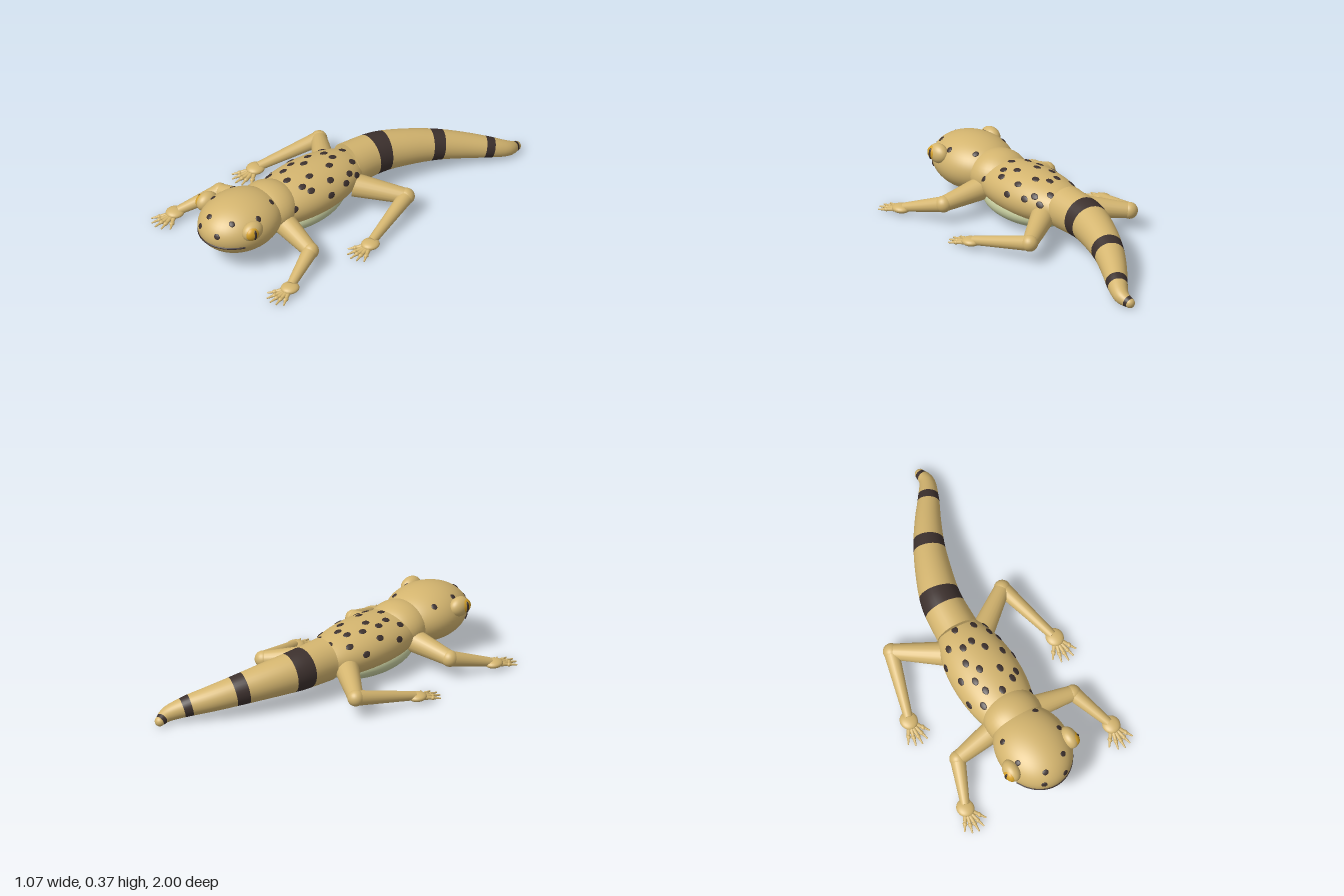
import * as THREE from 'three';

const mat = (name, color) => {
  const m = new THREE.MeshStandardMaterial({ color });
  m.name = name;
  return m;
};
const V = (x, y, z) => new THREE.Vector3(x, y, z);

export function createModel() {
  const skin = mat('tan skin', 0xd4b56f);
  const dark = mat('dark markings', 0x3d312e);
  const pale = mat('pale belly', 0xc6cd9f);
  const gold = mat('gold iris', 0xd6a22a);
  const model = new THREE.Group();
  model.name = 'lizard';

  const add = (parent, name, geometry, material) => {
    const mesh = new THREE.Mesh(geometry, material);
    mesh.name = name;
    parent.add(mesh);
    return mesh;
  };
  const ball = (parent, name, material, center, radii, seg = 32) => {
    const mesh = add(parent, name, new THREE.SphereGeometry(1, seg, Math.round(seg * 0.7)), material);
    mesh.position.copy(center);
    mesh.scale.copy(radii);
    return mesh;
  };
  // Tapered cylinder from a to b
  const limb = (parent, name, a, b, ra, rb, seg = 20) => {
    const dir = b.clone().sub(a);
    const mesh = add(parent, name, new THREE.CylinderGeometry(rb, ra, dir.length(), seg), skin);
    mesh.position.copy(a).addScaledVector(dir, 0.5);
    mesh.quaternion.setFromUnitVectors(V(0, 1, 0), dir.normalize());
    return mesh;
  };

  // Head, neck, trunk and belly
  const headC = V(0, 0.222, 0.75), headR = V(0.205, 0.153, 0.25);
  const bodyC = V(0, 0.195, 0.27), bodyR = V(0.19, 0.137, 0.4);
  ball(model, 'head', skin, headC, headR, 48);
  ball(model, 'neck', skin, V(0, 0.215, 0.54), V(0.165, 0.13, 0.16));
  ball(model, 'body', skin, bodyC, bodyR, 48);
  ball(model, 'belly', pale, V(0, 0.105, 0.31), V(0.168, 0.09, 0.3), 40);

  // Mouth line wrapped around the snout
  const mouth = [];
  for (let i = 0; i <= 16; i++) {
    const a = (i / 8 - 1) * 1.06, k = 0.974;
    mouth.push(V(Math.sin(a) * headR.x * k, 0.187, headC.z + Math.cos(a) * headR.z * k));
  }
  add(model, 'mouth', new THREE.TubeGeometry(new THREE.CatmullRomCurve3(mouth), 40, 0.006, 8), dark);

  // Flat spots laid on the upper surface of an ellipsoid at each x, z
  const spots = (name, c, r, list, w, l) => {
    const group = new THREE.Group();
    group.name = name;
    model.add(group);
    for (const [x, z] of list) {
      const dx = x / r.x, dz = (z - c.z) / r.z;
      const dy = Math.sqrt(Math.max(0, 1 - dx * dx - dz * dz));
      const normal = V(dx / r.x, dy / r.y, dz / r.z).normalize();
      const spot = ball(group, 'spot', dark, V(x, c.y + dy * r.y, z), V(w, 0.0045, l), 14);
      spot.quaternion.setFromUnitVectors(V(0, 1, 0), normal);
    }
  };
  spots('headSpots', headC, headR, [[-0.037, 0.942], [0.1, 0.9], [-0.067, 0.98], [0.067, 0.98],
    [-0.145, 0.67], [0.1, 0.61], [0.16, 0.76], [-0.14, 0.82]], 0.018, 0.016);
  spots('bodySpots', bodyC, bodyR, [[0.08, 0], [-0.025, -0.025], [-0.11, 0.05], [-0.045, 0.095],
    [0.015, 0.085], [0.14, 0.02], [-0.08, 0.18], [0.06, 0.15], [0.135, 0.07], [-0.15, 0.245],
    [-0.035, 0.25], [0.135, 0.21], [-0.09, 0.295], [0.065, 0.3], [0.135, 0.35], [-0.175, 0.37],
    [-0.07, 0.37], [0.01, 0.415], [-0.12, 0.43], [0.095, 0.38], [0.183, 0.245], [-0.17, 0.12],
    [0.165, 0.12], [0.15, 0.485]], 0.018, 0.024);

  // Tail: rings along a curve, with dark bands as material groups
  const path = [V(0, 0.197, -0.035), V(0.018, 0.19, -0.235), V(0.07, 0.172, -0.4), V(0.137, 0.145, -0.56),
    V(0.215, 0.112, -0.7), V(0.285, 0.083, -0.81), V(0.335, 0.052, -0.91), V(0.33, 0.033, -0.972)];
  const radii = [0.121, 0.113, 0.1, 0.085, 0.071, 0.058, 0.042, 0.028];
  const curve = new THREE.CatmullRomCurve3(path);
  const stops = [0, 0.74, 1.27, 2.79, 3.2, 4.83, 5.21, 6.65, 7];
  const N = 32, rows = [];
  stops.slice(1).forEach((end, s) => {
    for (let k = 0; k < 6; k++) rows.push([stops[s] + (end - stops[s]) * k / 6, s % 2]);
  });
  rows.push([7, 0]);
  const pos = [], index = [], tail = new THREE.BufferGeometry();
  rows.forEach(([u, band], i) => {
    const c = curve.getPoint(u / 7), t = curve.getTangent(u / 7);
    const side = t.clone().cross(V(0, 1, 0)).normalize(), up = side.clone().cross(t);
    const f = Math.min(6, Math.floor(u));
    const r = THREE.MathUtils.lerp(radii[f], radii[f + 1], u - f);
    for (let j = 0; j < N; j++) {
      const a = j / N * Math.PI * 2;
      pos.push(...c.clone().addScaledVector(side, r * Math.cos(a)).addScaledVector(up, r * Math.sin(a)).toArray());
    }
    if (i === rows.length - 1) return;
    tail.addGroup(index.length, N * 6, band);
    for (let j = 0; j < N; j++) {
      const a = i * N + j, b = i * N + (j + 1) % N;
      index.push(a, a + N, b, b, a + N, b + N);
    }
  });
  tail.setAttribute('position', new THREE.Float32BufferAttribute(pos, 3));
  tail.setIndex(index);
  tail.computeVertexNormals();
  add(model, 'tail', tail, [skin, dark]);
  const root = add(model, 'tailRoot', new THREE.CircleGeometry(radii[0], N), skin);
  root.position.copy(path[0]);
  root.lookAt(path[0].clone().sub(curve.getTangent(0)));
  ball(model, 'tailTip', skin, path[7], V(0.028, 0.028, 0.028), 20);

  // Eyes and legs, mirrored
  const toes = [[-0.073, 0.1], [-0.038, 0.135], [0, 0.147], [0.037, 0.137], [0.07, 0.11]];
  const leg = (name, s, top, joint, ankle) => {
    const g = new THREE.Group();
    g.name = name;
    model.add(g);
    const [a, b, c] = [top, joint, ankle].map(([x, y, z]) => V(x * s, y, z));
    limb(g, 'upperLeg', a, b, 0.066, 0.043);
    ball(g, 'joint', skin, b, V(0.046, 0.046, 0.046), 24);
    limb(g, 'lowerLeg', b, c, 0.043, 0.025);
    const foot = V(0.463 * s, 0.042, c.z + 0.015);
    ball(g, 'foot', skin, foot, V(0.049, 0.024, 0.053), 24);
    for (const [x, z] of toes) {
      const start = V(foot.x + x * s * 0.25, 0.032, foot.z + z * 0.25);
      const end = V(foot.x + x * s, 0.017, foot.z + z);
      limb(g, 'toe', start, end, 0.014, 0.004, 10);
      ball(g, 'knuckle', skin, start.clone().lerp(end, 0.55), V(0.012, 0.011, 0.016), 10);
    }
  };
  for (const s of [1, -1]) {
    const label = s > 0 ? 'left' : 'right';
    ball(model, label + 'EyeSocket', skin, V(0.183 * s, 0.282, 0.825), V(0.046, 0.055, 0.066));
    ball(model, label + 'Iris', gold, V(0.2 * s, 0.284, 0.84), V(0.032, 0.042, 0.046));
    ball(model, label + 'Pupil', dark, V(0.222 * s, 0.284, 0.843), V(0.013, 0.032, 0.011), 20);
    leg(label + 'FrontLeg', s, [0.12, 0.157, 0.535], [0.365, 0.118, 0.565], [0.455, 0.05, 0.79]);
    leg(label + 'HindLeg', s, [0.12, 0.155, 0.02], [0.352, 0.12, -0.15], [0.457, 0.05, 0.2]);
  }
  return model;
}
